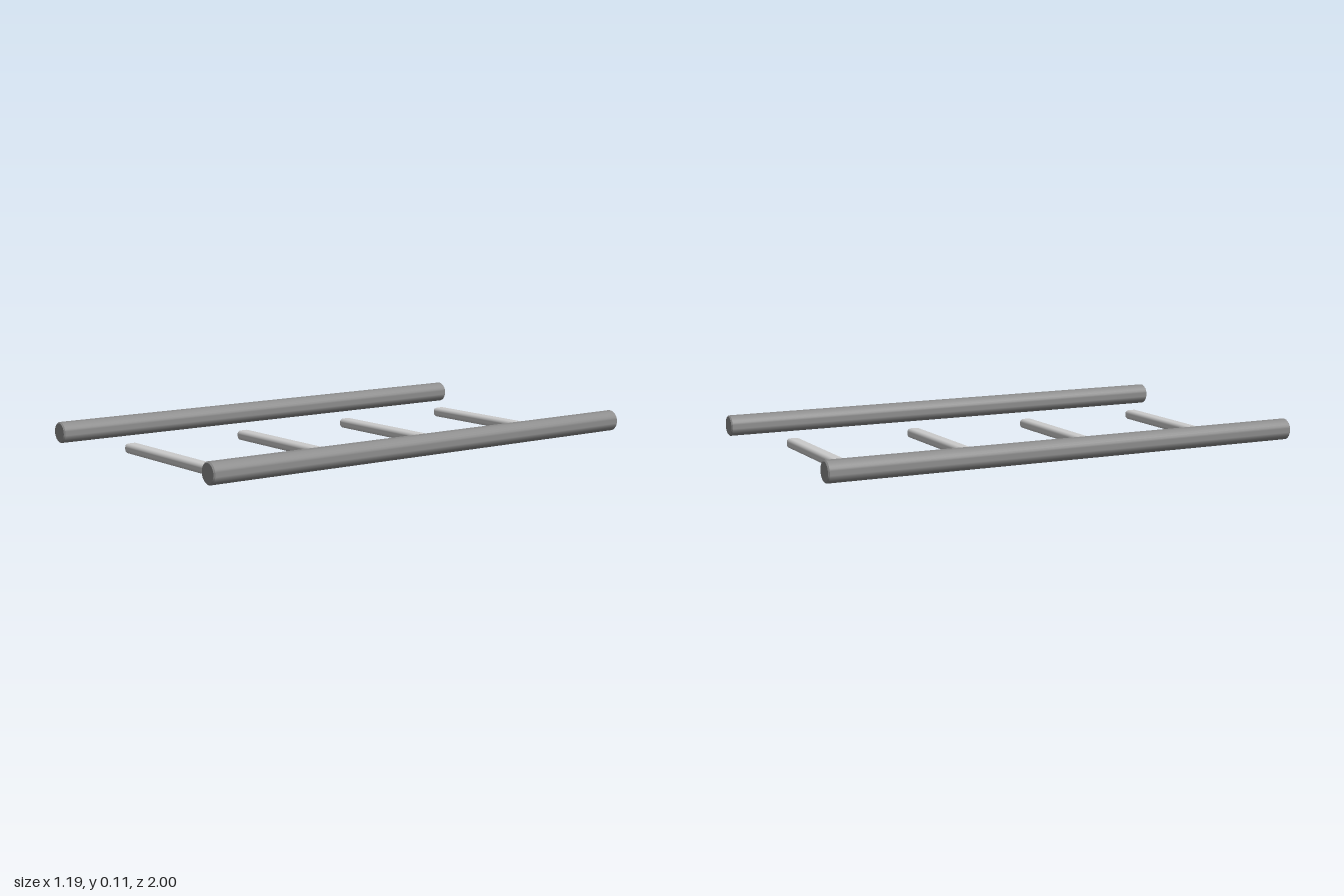
import * as THREE from 'three';
import { RoundedBoxGeometry } from 'three/addons/geometries/RoundedBoxGeometry.js';
import { toCreasedNormals } from 'three/addons/utils/BufferGeometryUtils.js';

export function createModel() {
  const model = new THREE.Group();
  model.name = 'ladderTrack';
  const railMaterial = new THREE.MeshStandardMaterial({ color: 0x8c8c8c });
  const barMaterial = new THREE.MeshStandardMaterial({ color: 0xcccccc });

  // Long round dark rails with finely bevelled ends, lying along z
  const r = 0.0425, bevel = 0.005;
  const profile = [
    [0, -1], [r - bevel, -1], [r, -1 + bevel],
    [r, 1 - bevel], [r - bevel, 1], [0, 1],
  ].map(([x, y]) => new THREE.Vector2(x, y));
  const railGeometry = toCreasedNormals(
    new THREE.LatheGeometry(profile, 32).rotateX(Math.PI / 2), 0.6);
  for (const side of [-1, 1]) {
    const rail = new THREE.Mesh(railGeometry, railMaterial);
    rail.name = side > 0 ? 'leftRail' : 'rightRail';
    rail.position.set(side * 0.551, 0.0715, 0);
    model.add(rail);
  }

  // Flat rounded crossbars, evenly spaced between the rails
  const barGeometry = new RoundedBoxGeometry(0.67, 0.04, 0.057, 4, 0.015);
  for (let i = 0; i < 4; i++) {
    const bar = new THREE.Mesh(barGeometry, barMaterial);
    bar.name = `crossbar${i + 1}`;
    bar.position.set(0, 0.02, -0.801 + i * 0.534);
    model.add(bar);
  }
  return model;
}
